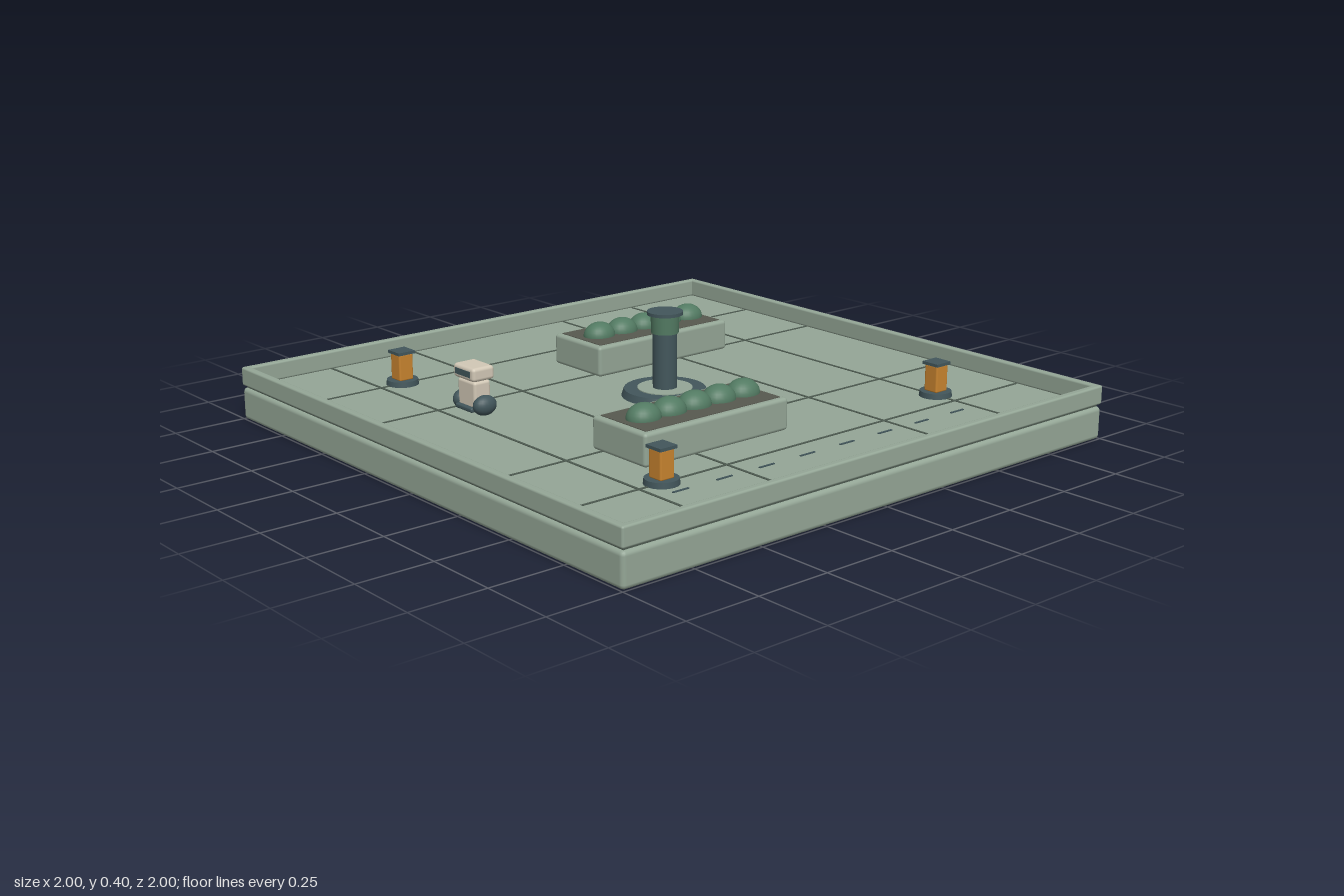
import * as THREE from 'three';
import { RoundedBoxGeometry } from 'three/addons/geometries/RoundedBoxGeometry.js';

const mat = (name, color) => {
  const m = new THREE.MeshStandardMaterial({ color });
  m.name = name;
  return m;
};

export function createModel() {
  const stone = mat('sageStone', 0x94a696);
  const seam = mat('seamGrey', 0x4d5a50);
  const slate = mat('darkSlate', 0x42565b);
  const soilMat = mat('soil', 0x57594f);
  const leaf = mat('leafGreen', 0x527a62);
  const amber = mat('amber', 0xc8842f);
  const cream = mat('cream', 0xd2c8b6);

  const model = new THREE.Group();
  model.name = 'plaza';

  const add = (parent, name, geo, material, x, y, z) => {
    const m = new THREE.Mesh(geo, material);
    m.name = name;
    m.position.set(x, y, z);
    parent.add(m);
    return m;
  };
  // boxes and cylinders are placed by the height of their underside
  const box = (p, name, w, h, d, material, x, y, z, r = 0) =>
    add(p, name, r ? new RoundedBoxGeometry(w, h, d, 2, r) : new THREE.BoxGeometry(w, h, d), material, x, y + h / 2, z);
  const cyl = (p, name, rTop, rBottom, h, material, x, y, z) =>
    add(p, name, new THREE.CylinderGeometry(rTop, rBottom, h, 32), material, x, y + h / 2, z);
  const group = (name, x, y, z) => {
    const g = new THREE.Group();
    g.name = name;
    g.position.set(x, y, z);
    model.add(g);
    return g;
  };

  const floorY = 0.117;

  // Base slab, shadow gap, paved floor and raised rim
  box(model, 'baseSlab', 2, 0.11, 2, stone, 0, 0, 0, 0.015);
  box(model, 'shadowGap', 1.975, 0.02, 1.975, seam, 0, 0.095, 0);
  box(model, 'floor', 1.96, 0.004, 1.96, stone, 0, floorY - 0.004, 0);
  for (const s of [-1, 1]) {
    box(model, 'rimFrontBack', 2, 0.063, 0.026, stone, 0, floorY, s * 0.987, 0.007);
    box(model, 'rimSide', 0.026, 0.063, 2, stone, s * 0.987, floorY, 0, 0.007);
  }

  // Paving seams and the dashed guide line
  for (const p of [-0.667, -0.333, 0.333, 0.667]) {
    box(model, 'seamAlongZ', 0.009, 0.002, 1.948, seam, p, floorY, 0);
    box(model, 'seamAlongX', 1.948, 0.002, 0.009, seam, 0, floorY, p);
  }
  for (let i = 0; i < 8; i++) {
    box(model, 'guideDash', 0.007, 0.003, 0.06, slate, 0.75, floorY, -0.583 + i / 6);
  }

  // Central beacon column on a round plinth
  const beacon = group('beacon', 0, floorY, 0);
  cyl(beacon, 'plinth', 0.135, 0.143, 0.024, slate, 0, 0, 0);
  cyl(beacon, 'plinthInlay', 0.091, 0.091, 0.003, stone, 0, 0.024, 0);
  cyl(beacon, 'shaft', 0.04, 0.04, 0.215, slate, 0, 0.02, 0);
  cyl(beacon, 'collar', 0.047, 0.045, 0.062, leaf, 0, 0.211, 0);
  cyl(beacon, 'cap', 0.059, 0.059, 0.011, slate, 0, 0.272, 0);

  // Two planters with a row of shrubs each
  const bushGeo = new THREE.SphereGeometry(1, 24, 16);
  for (const s of [-1, 1]) {
    const planter = group('planter', s * 0.417, floorY, s * 0.25);
    box(planter, 'planterBox', 0.248, 0.105, 0.578, stone, 0, 0, 0, 0.012);
    box(planter, 'soilBed', 0.21, 0.003, 0.54, soilMat, 0, 0.104, 0);
    for (let i = -2; i <= 2; i++) {
      add(planter, 'shrub', bushGeo, leaf, 0, 0.107, i * 0.1 - 0.01).scale.set(0.049, 0.047, 0.058);
    }
  }

  // Three square bollards on round feet
  for (const [x, z] of [[-0.667, 0.583], [0.667, 0.583], [0.583, -0.667]]) {
    const bollard = group('bollard', x, floorY, z);
    cyl(bollard, 'foot', 0.052, 0.054, 0.018, slate, 0, 0, 0);
    box(bollard, 'post', 0.054, 0.092, 0.054, amber, 0, 0.016, 0, 0.006);
    box(bollard, 'cap', 0.064, 0.01, 0.064, slate, 0, 0.106, 0);
  }

  // Small wheeled service robot facing the front
  const robot = group('serviceRobot', -0.25, floorY, 0.583);
  box(robot, 'body', 0.094, 0.09, 0.064, cream, 0, 0.02, 0, 0.01);
  box(robot, 'head', 0.112, 0.046, 0.084, cream, 0, 0.112, 0, 0.012);
  box(robot, 'neck', 0.06, 0.008, 0.05, slate, 0, 0.107, 0);
  box(robot, 'visor', 0.08, 0.02, 0.004, slate, 0, 0.126, 0.042);
  box(robot, 'bumper', 0.09, 0.016, 0.09, slate, 0, 0.012, 0, 0.006);
  const wheelGeo = new THREE.SphereGeometry(1, 20, 14);
  for (const s of [-1, 1]) {
    add(robot, 'wheel', wheelGeo, slate, s * 0.055, 0.033, 0).scale.set(0.029, 0.033, 0.042);
  }

  return model;
}
